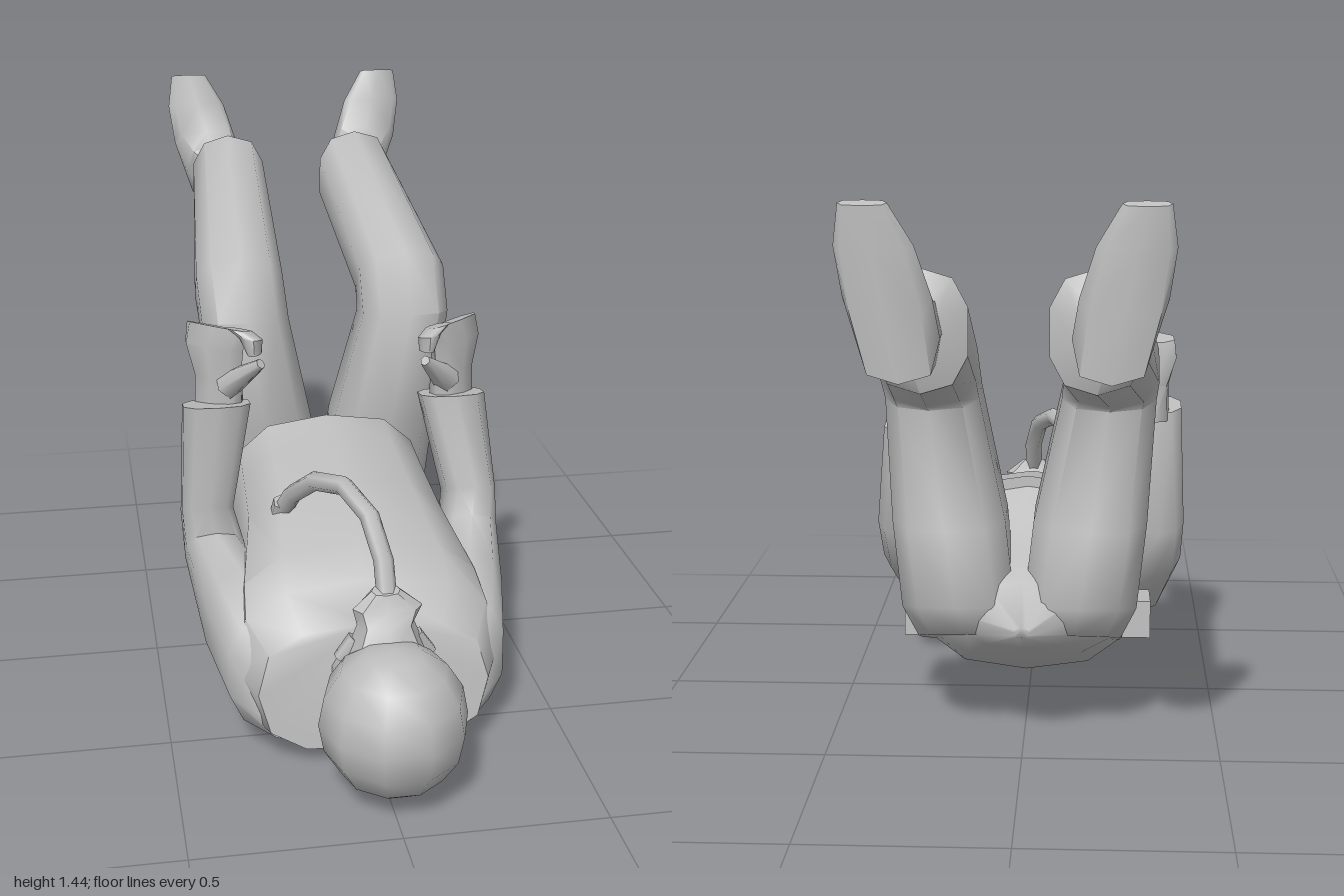
import * as THREE from 'three';
import { toCreasedNormals } from 'three/addons/utils/BufferGeometryUtils.js';

const grey = new THREE.MeshStandardMaterial({ color: 0xbcbcbc });
grey.name = 'grey';

// Closed skin over oval sections [xCentre, halfWidth, zA, yA, zB, yB];
// A and B are the opposite rim points in the side plane. side -1 mirrors x.
function loft(name, sections, { side = 1, n = 10, power = 0.8, crease = 1 } = {}) {
  const soft = (v) => Math.sign(v) * Math.abs(v) ** power;
  const pos = [], idx = [];
  for (const [xc, hw, zA, yA, zB, yB] of sections) {
    for (let i = 0; i < n; i++) {
      const t = (i / n) * Math.PI * 2 + Math.PI / 2;
      const c = soft(Math.cos(t)), s = soft(Math.sin(t));
      pos.push(side * (xc + hw * c), (yA + yB) / 2 + (s * (yA - yB)) / 2, (zA + zB) / 2 + (s * (zA - zB)) / 2);
    }
  }
  for (let r = 0; r < sections.length - 1; r++) {
    for (let i = 0; i < n; i++) {
      const a = r * n + i, b = r * n + ((i + 1) % n);
      idx.push(a, b, b + n, a, b + n, a + n);
    }
  }
  const last = (sections.length - 1) * n;
  for (let i = 1; i < n - 1; i++) idx.push(0, i + 1, i, last, last + i, last + i + 1);
  // Turn the faces outward when the signed volume is negative
  let volume = 0;
  const p = (i) => new THREE.Vector3().fromArray(pos, i * 3);
  const o = p(0);
  for (let i = 0; i < idx.length; i += 3) {
    const [a, b, c] = [0, 1, 2].map((k) => p(idx[i + k]).sub(o));
    volume += a.dot(b.cross(c));
  }
  if (volume < 0) idx.reverse();
  const g = new THREE.BufferGeometry();
  g.setAttribute('position', new THREE.Float32BufferAttribute(pos, 3));
  g.setIndex(idx);
  return mesh(name, toCreasedNormals(g, crease));
}

function mesh(name, geometry) {
  const m = new THREE.Mesh(geometry, grey);
  m.name = name;
  return m;
}

// Tapered rod between two points
function rod(name, from, to, r1, r2) {
  const a = new THREE.Vector3(...from), b = new THREE.Vector3(...to);
  const d = b.clone().sub(a);
  const m = mesh(name, new THREE.CylinderGeometry(r2, r1, d.length(), 6));
  m.position.copy(a).add(b).multiplyScalar(0.5);
  m.quaternion.setFromUnitVectors(new THREE.Vector3(0, 1, 0), d.normalize());
  return m;
}

function hand(side, x, y, z) {
  const g = new THREE.Group();
  g.name = side > 0 ? 'leftHand' : 'rightHand';
  g.add(loft('palm', [
    [0.005, 0.07, 0.045, -0.04, -0.045, -0.04],
    [0.005, 0.07, 0.04, 0.06, -0.04, 0.06],
    [0.015, 0.09, 0.04, 0.14, -0.035, 0.14],
    [0.0, 0.1, 0.03, 0.2, -0.03, 0.18],
  ], { side, n: 8 }));
  g.add(loft('fingers', [
    [-0.06, 0.035, 0.03, 0.2, -0.03, 0.185],
    [-0.1, 0.028, 0.03, 0.18, -0.025, 0.17],
    [-0.11, 0.014, 0.025, 0.135, -0.02, 0.135],
  ], { side, n: 8 }));
  g.add(rod('thumb', [side * -0.03, 0.04, 0.01], [side * -0.14, 0.12, 0.02], 0.04, 0.014));
  g.position.set(x, y, z);
  g.rotation.y = side * 0.7;
  return g;
}

export function createModel() {
  const model = new THREE.Group();
  model.name = 'recliningFigure';

  // Jacket, broad and flat across the shoulders
  model.add(loft('torso', [
    [0, 0.29, 0.61, 0.36, 0.66, 0.035],
    [0, 0.34, 0.53, 0.44, 0.54, 0.015],
    [0, 0.33, 0.43, 0.5, 0.45, 0.005],
    [0, 0.285, 0.2, 0.58, 0.22, 0.08],
    [0, 0.275, 0.0, 0.61, 0.05, 0.14],
    [0, 0.27, -0.1, 0.64, -0.14, 0.15],
  ], { n: 12, power: 0.72, crease: 0.8 }));
  // Seat, narrowing to a ridge between the thighs
  model.add(loft('seat', [
    [0, 0.27, -0.09, 0.62, -0.12, 0.15],
    [0, 0.285, -0.18, 0.56, -0.22, 0.14],
    [0, 0.25, -0.3, 0.48, -0.33, 0.21],
    [0, 0.16, -0.41, 0.44, -0.42, 0.27],
    [0, 0.02, -0.5, 0.35, -0.5, 0.325],
  ], { n: 12 }));

  for (const side of [1, -1]) {
    const word = side > 0 ? 'left' : 'right';

    // Trouser leg
    const leg = loft(word + 'Leg', [
      [0.14, 0.125, -0.16, 0.2, -0.44, 0.31],
      [0.155, 0.15, -0.14, 0.3, -0.475, 0.39],
      [0.18, 0.15, -0.13, 0.6, -0.435, 0.57],
      [0.225, 0.125, -0.09, 0.92, -0.36, 0.87],
      [0.23, 0.125, -0.21, 1.07, -0.37, 0.88],
      [0.195, 0.11, -0.82, 1.285, -0.85, 1.01],
      [0.215, 0.065, -0.87, 1.23, -0.87, 1.08],
    ], { side });

    // Shoe with its sole turned backward
    const shoe = loft(word + 'Shoe', [
      [0.215, 0.07, -0.82, 1.23, -0.84, 1.06],
      [0.225, 0.085, -0.89, 1.24, -1.0, 1.06],
      [0.25, 0.095, -0.92, 1.28, -1.0, 1.2],
      [0.275, 0.085, -0.95, 1.36, -1.0, 1.34],
      [0.295, 0.052, -0.975, 1.445, -1.0, 1.435],
    ], { side, n: 8, power: 0.65 });
    leg.position.x = shoe.position.x = 0.012;
    model.add(leg, shoe);

    // Sleeve; the right forearm is held a little higher and further forward
    const lift = side > 0 ? 0 : 0.04, fwd = side > 0 ? 0 : 0.09;
    model.add(loft(word + 'Arm', [
      [0.19, 0.09, 0.59, 0.3, 0.64, 0.06],
      [0.25, 0.105, 0.54, 0.36, 0.55, 0.06],
      [0.3, 0.095, 0.38, 0.42, 0.34, 0.11],
      [0.345, 0.08, 0.22, 0.45, 0.1, 0.3],
      [0.36, 0.07, 0.19 + fwd / 4, 0.52, 0.01 + fwd / 3, 0.44],
      [side > 0 ? 0.315 : 0.33, 0.09, 0.13 + fwd, 0.76 + lift, -0.01 + fwd, 0.735 + lift],
    ], { side }));
    model.add(hand(side, side * 0.315, 0.755 + lift, 0.05 + fwd * 0.75));

    // Hip pouch
    const pouch = mesh(word + 'Pouch', new THREE.BoxGeometry(0.08, 0.1, 0.14));
    pouch.position.set(side * 0.29, 0.255, -0.09);
    pouch.rotation.x = 0.08;
    model.add(pouch);
  }

  // Head, tipped back, with the face pointing up
  const head = mesh('head', new THREE.SphereGeometry(1, 10, 8));
  head.scale.set(0.182, 0.19, 0.19);
  head.position.set(0.012, 0.21, 0.81);
  model.add(head);
  model.add(loft('neck', [
    [0, 0.11, 0.56, 0.33, 0.56, 0.1],
    [0.01, 0.12, 0.74, 0.35, 0.74, 0.06],
  ]));

  // Breathing mask, cheek pieces and hose
  model.add(loft('mask', [
    [0.012, 0.1, 0.62, 0.31, 0.79, 0.36],
    [0.012, 0.07, 0.64, 0.4, 0.76, 0.42],
    [0.016, 0.085, 0.67, 0.455, 0.735, 0.45],
    [0.012, 0.035, 0.68, 0.5, 0.72, 0.49],
  ], { n: 8, crease: 0.6 }));
  for (const side of [1, -1]) {
    model.add(rod('cheekPiece', [0.012 + side * 0.07, 0.37, 0.7], [0.012 + side * 0.11, 0.32, 0.7], 0.025, 0.02));
  }
  const path = new THREE.CatmullRomCurve3([
    [0.015, 0.45, 0.71], [0.01, 0.59, 0.63], [-0.03, 0.67, 0.53],
    [-0.08, 0.675, 0.44], [-0.14, 0.62, 0.34], [-0.18, 0.5, 0.24],
  ].map((q) => new THREE.Vector3(...q)));
  model.add(mesh('hose', new THREE.TubeGeometry(path, 6, 0.025, 6)));
  model.add(rod('hoseConnector', [-0.185, 0.45, 0.22], [-0.175, 0.55, 0.27], 0.03, 0.026));

  return model;
}
